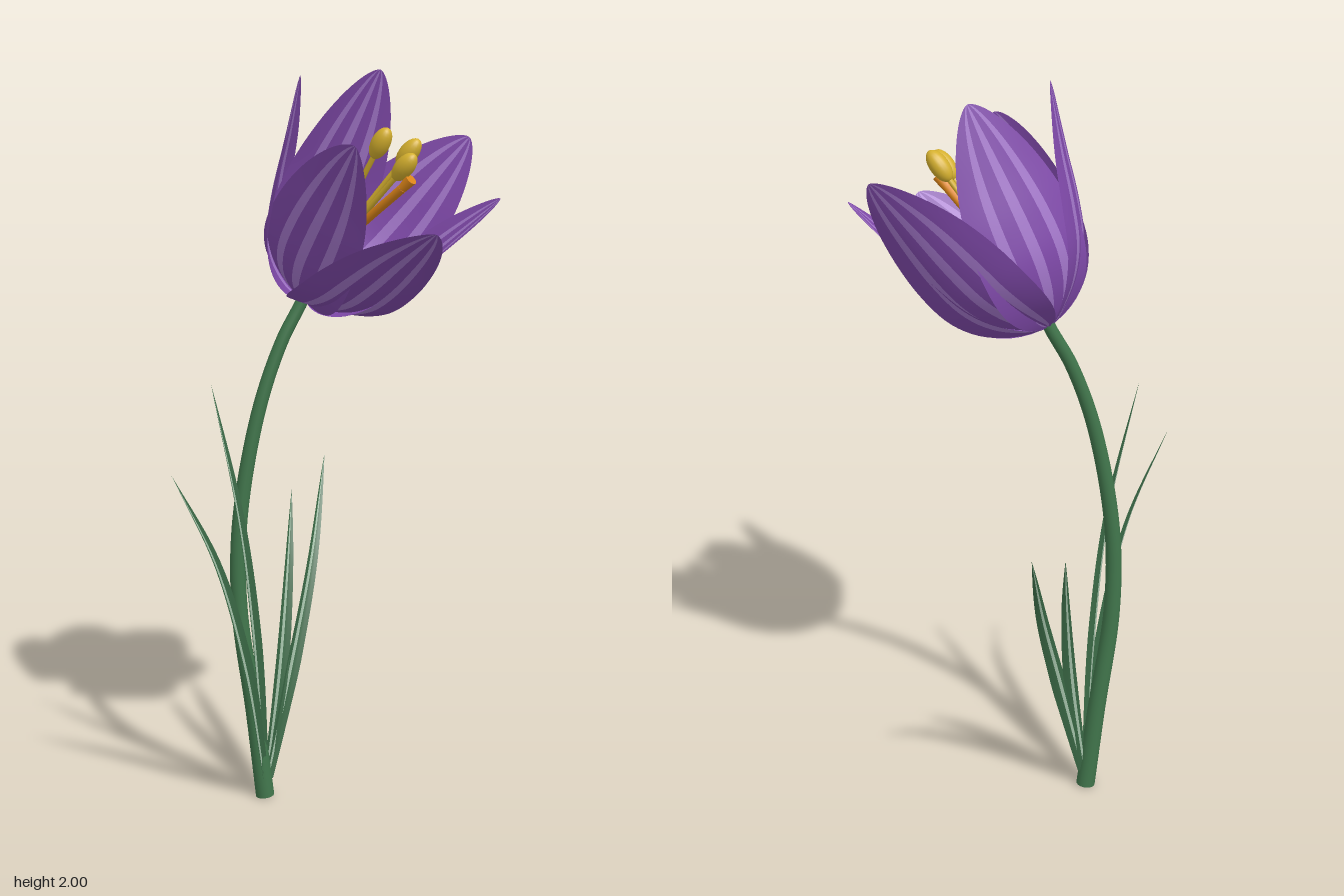
import * as THREE from 'three';

const mat = (name, color, side = THREE.FrontSide) => {
  const m = new THREE.MeshStandardMaterial({ color, side });
  m.name = name;
  return m;
};
const V = (x, y, z) => new THREE.Vector3(x, y, z);

// Open sheet: point(t, u) over rows t in 0..1 and columns us; striped columns use material 1
function sheet(name, rows, us, isStripe, point, materials) {
  const pos = [], n = us.length, index = [];
  for (let i = 0; i <= rows; i++) for (const u of us) pos.push(...point(i / rows, u).toArray());
  const g = new THREE.BufferGeometry();
  for (let c = 0; c < n - 1; c++) {
    const start = index.length;
    for (let i = 0; i < rows; i++) {
      const a = i * n + c, b = a + n;
      index.push(a, a + 1, b, a + 1, b + 1, b);
    }
    g.addGroup(start, index.length - start, isStripe((us[c] + us[c + 1]) / 2) ? 1 : 0);
  }
  g.setAttribute('position', new THREE.Float32BufferAttribute(pos, 3));
  g.setIndex(index);
  g.computeVertexNormals();
  const mesh = new THREE.Mesh(g, materials);
  mesh.name = name;
  return mesh;
}

// Round rod along a curve, tapering from r0 to r1, with closed ends
function rod(name, points, r0, r1, material, segs = 32, sides = 14) {
  const group = new THREE.Group();
  group.name = name;
  const curve = new THREE.CatmullRomCurve3(points);
  const g = new THREE.TubeGeometry(curve, segs, 1, sides);
  const p = g.attributes.position, nrm = g.attributes.normal;
  for (let i = 0; i < p.count; i++) {
    const t = Math.floor(i / (sides + 1)) / segs;
    const c = curve.getPointAt(t);
    const r = r0 + (r1 - r0) * t;
    p.setXYZ(i, c.x + nrm.getX(i) * r, c.y + nrm.getY(i) * r, c.z + nrm.getZ(i) * r);
  }
  group.add(new THREE.Mesh(g, material));
  for (const [t, r, s] of [[0, r0, -1], [1, r1, 1]]) {
    const cap = new THREE.Mesh(new THREE.CircleGeometry(r, sides), material);
    cap.position.copy(curve.getPointAt(t));
    cap.quaternion.setFromUnitVectors(V(0, 0, 1), curve.getTangentAt(t).multiplyScalar(s));
    group.add(cap);
  }
  return group;
}

export function createModel() {
  const model = new THREE.Group();
  model.name = 'flower';
  const stemGreen = mat('stem green', 0x41764c);
  const leafGreen = mat('leaf green', 0x3a6845, THREE.DoubleSide);
  const leafPale = mat('pale leaf stripe', 0xa3c0a8, THREE.DoubleSide);
  const purple = mat('petal purple', 0x7f49a9, THREE.DoubleSide);
  const lilac = mat('petal lilac stripe', 0xa276c9, THREE.DoubleSide);
  const yellow = mat('anther yellow', 0xd5b02e);
  const orange = mat('style orange', 0xdb8418);

  const base = V(-0.01, 1.405, -0.12);
  const axis = V(0.33, 0.81, 0.485).normalize();
  const root = V(0.015, 1.475, -0.108);

  // Stem, ending a little way inside the cup
  model.add(rod('stem', [
    V(-0.124, 0, -0.138), V(-0.15, 0.25, -0.148), V(-0.188, 0.55, -0.155), V(-0.186, 0.8, -0.153),
    V(-0.135, 1.1, -0.14), V(-0.07, 1.29, -0.13), base.clone(), root], 0.026, 0.016, stemGreen, 48, 18));

  // Petals: each is a gently cupped sheet from the flower base to its tip
  const profile = new THREE.CatmullRomCurve3(
    [[0, 0.03], [0.05, 0.2], [0.15, 0.42], [0.28, 0.59], [0.45, 0.71], [0.7, 0.84], [1, 1]]
      .map(([h, r]) => V(h, r, 0)));
  const half = [0.1, 0.24, 0.38, 0.56, 0.7, 0.85, 1];
  const petalCols = [...half.map(u => -u).reverse(), 0, ...half];
  const petalStripe = u => {
    const a = Math.abs(u);
    return a < 0.1 || (a > 0.38 && a < 0.56);
  };
  const tips = [
    V(0.38, 1.69, 0.235), V(0.12, 1.635, 0.375), V(0.43, 1.82, -0.02),
    V(-0.06, 1.85, 0.29), V(0.195, 2.0, -0.08), V(-0.08, 2.0, 0.015)];
  for (const tip of tips) {
    const d = tip.clone().sub(base);
    const H = d.dot(axis);
    const out = d.addScaledVector(axis, -H);
    const R = out.length();
    out.normalize();
    const across = axis.clone().cross(out);
    model.add(sheet('petal', 40, petalCols, petalStripe, (s, u) => {
      const t = 1 - (1 - s) ** 1.6;
      const p = profile.getPointAt(t);
      const w = 0.15 * Math.max(0, Math.sin(Math.PI * t)) ** 0.64 + 0.004 * (1 - t);
      const x = u * w;
      return base.clone().addScaledVector(axis, p.x * H)
        .addScaledVector(out, p.y * R - 1.1 * x * x)
        .addScaledVector(across, x);
    }, [purple, lilac]));
  }

  // Stamens: thin filaments with oval anthers
  for (const a of [V(0.11, 1.83, 0.09), V(0.193, 1.8, 0.085), V(0.145, 1.775, 0.155)]) {
    const dir = a.clone().sub(root).normalize();
    const mid = root.clone().lerp(a, 0.5);
    model.add(rod('filament', [root, mid, a], 0.008, 0.007, yellow, 10, 10));
    const anther = new THREE.Mesh(new THREE.SphereGeometry(1, 18, 14), yellow);
    anther.name = 'anther';
    anther.scale.set(0.025, 0.046, 0.025);
    anther.position.copy(a);
    anther.quaternion.setFromUnitVectors(V(0, 1, 0), dir);
    model.add(anther);
  }
  // Style with a slightly flared end
  const styleEnd = V(0.145, 1.72, 0.145);
  model.add(rod('style', [root, V(0.085, 1.61, 0.02), styleEnd], 0.01, 0.012, orange, 10, 12));
  model.add(rod('stigma', [styleEnd, V(0.158, 1.745, 0.168)], 0.012, 0.016, orange, 2, 12));

  // Leaves: narrow folded blades with a pale midrib; each has a path and a width direction
  const leftSide = V(0.8, 0, -0.6), rightSide = V(0.95, 0, -0.25);
  const leaves = [
    [leftSide, V(-0.13, 0.05, -0.13), V(-0.21, 0.4, -0.065), V(-0.31, 0.73, -0.027), V(-0.43, 0.99, -0.025)],
    [leftSide, V(-0.13, 0.05, -0.13), V(-0.163, 0.4, -0.105), V(-0.213, 0.8, -0.087), V(-0.278, 1.2, -0.12)],
    [rightSide, V(-0.115, 0.05, -0.14), V(-0.03, 0.35, -0.172), V(0.068, 0.63, -0.245), V(0.175, 0.9, -0.378)],
    [rightSide, V(-0.118, 0.05, -0.145), V(-0.067, 0.35, -0.165), V(-0.015, 0.62, -0.222), V(0.036, 0.83, -0.3)]];
  for (const [width, ...path] of leaves) {
    const curve = new THREE.CatmullRomCurve3(path);
    model.add(sheet('leaf', 28, [-1, -0.6, -0.22, 0.22, 0.6, 1], u => Math.abs(u) < 0.22, (t, u) => {
      const tan = curve.getTangentAt(t);
      const side = width.clone().addScaledVector(tan, -width.dot(tan)).normalize();
      const face = side.clone().cross(tan).normalize();
      if (face.z < 0) face.negate();
      const w = 0.026 * Math.min(1, 0.55 + t * 1.3) * (1 - t ** 2.8);
      return curve.getPointAt(t).addScaledVector(side, u * w)
        .addScaledVector(face, Math.abs(u) * w * 0.5);
    }, [leafGreen, leafPale]));
  }
  return model;
}
